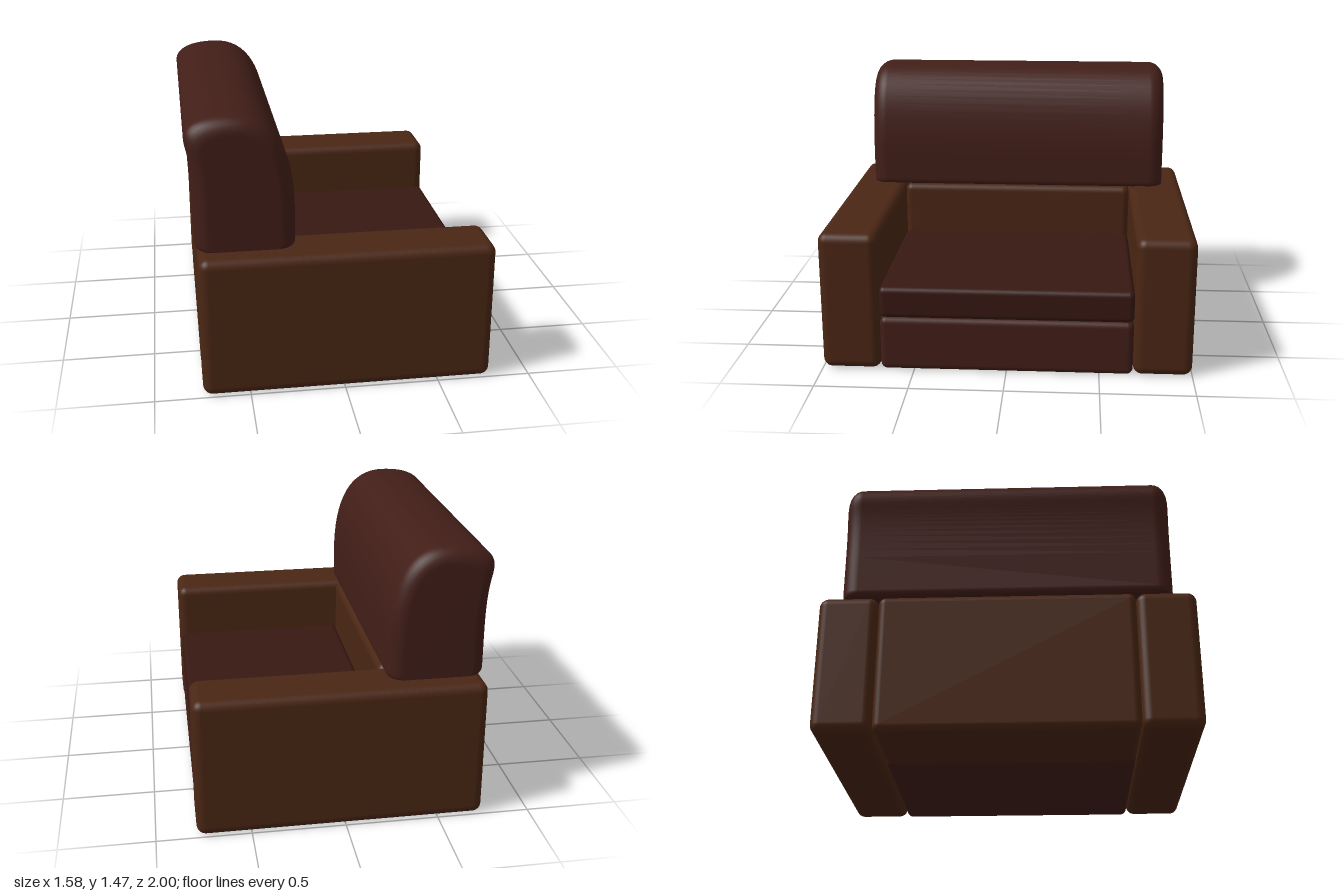
import * as THREE from 'three';
import { RoundedBoxGeometry } from 'three/addons/geometries/RoundedBoxGeometry.js';

const brown = new THREE.MeshStandardMaterial({ color: 0x4a2614 });
const maroon = new THREE.MeshStandardMaterial({ color: 0x421e18 });
const darkMaroon = new THREE.MeshStandardMaterial({ color: 0x371812 });

// Rounded block given by its minimum and maximum corners
function block(name, material, min, max, radius) {
  const size = max.map((v, i) => v - min[i]);
  const mesh = new THREE.Mesh(new RoundedBoxGeometry(...size, 5, radius), material);
  mesh.position.set(...max.map((v, i) => (v + min[i]) / 2));
  mesh.name = name;
  return mesh;
}

// Side outline of the backrest pillow, curling over toward the rear at the top
function backrestOutline() {
  const s = new THREE.Shape();
  s.moveTo(-0.72, 0.765);
  s.lineTo(-0.268, 0.765);
  s.quadraticCurveTo(-0.238, 0.765, -0.238, 0.80);
  s.lineTo(-0.238, 0.93);
  s.bezierCurveTo(-0.238, 1.29, -0.34, 1.472, -0.55, 1.472);
  s.bezierCurveTo(-0.70, 1.472, -0.79, 1.43, -0.79, 1.36);
  s.bezierCurveTo(-0.79, 1.30, -0.757, 1.28, -0.757, 1.0);
  s.lineTo(-0.757, 0.80);
  s.quadraticCurveTo(-0.755, 0.765, -0.72, 0.765);
  return s.getPoints(16).slice(0, -1);
}

// Loft the outline along z, shrinking it at both ends for rounded edges
function backrestGeometry(halfLength, radius) {
  const outline = backrestOutline();
  const n = outline.length, steps = 7, cx = -0.51, cy = 0.80;
  const rings = [];
  for (let i = 0; i <= steps; i++) {
    const a = (i / steps) * Math.PI / 2;
    rings.push({ z: halfLength - radius * (1 - Math.sin(a)), inset: radius * (1 - Math.cos(a)) });
  }
  const all = [
    ...rings.slice().reverse().map(r => ({ z: -r.z, inset: r.inset })),
    ...rings,
  ];
  const pos = [], idx = [];
  for (const { z, inset } of all) {
    const sx = 1 - inset / 0.275, sy = 1 - inset / 0.67;
    for (const p of outline) pos.push(cx + (p.x - cx) * sx, cy + (p.y - cy) * sy, z);
  }
  for (let r = 0; r < all.length - 1; r++) {
    for (let j = 0; j < n; j++) {
      const a = r * n + j, b = r * n + (j + 1) % n;
      idx.push(a, b, b + n, a, b + n, a + n);
    }
  }
  // End caps
  const last = (all.length - 1) * n, centre = all.length * n;
  pos.push(cx, 1.1, -halfLength, cx, 1.1, halfLength);
  for (let j = 0; j < n; j++) {
    const k = (j + 1) % n;
    idx.push(centre, k, j, centre + 1, last + j, last + k);
  }
  const g = new THREE.BufferGeometry();
  g.setAttribute('position', new THREE.Float32BufferAttribute(pos, 3));
  g.setIndex(idx);
  g.computeVertexNormals();
  return g;
}

export function createModel() {
  const chair = new THREE.Group();
  chair.name = 'armchair';

  // Arms on both sides of the seat
  chair.add(block('leftArm', brown, [-0.747, 0.003, -1], [0.787, 0.77, -0.682], 0.05));
  chair.add(block('rightArm', brown, [-0.747, 0.003, 0.682], [0.787, 0.77, 1], 0.05));

  // Rear panel between the arms
  chair.add(block('backPanel', brown, [-0.747, 0.003, -0.682], [-0.225, 0.767, 0.682], 0.04));

  // Seat base and cushion
  chair.add(block('seatBase', maroon, [-0.225, 0.003, -0.682], [0.782, 0.305, 0.682], 0.035));
  chair.add(block('seatCushion', darkMaroon, [-0.225, 0.302, -0.682], [0.78, 0.475, 0.682], 0.03));

  // Backrest pillow
  const backrest = new THREE.Mesh(backrestGeometry(0.882, 0.085), maroon);
  backrest.name = 'backrest';
  chair.add(backrest);

  return chair;
}
